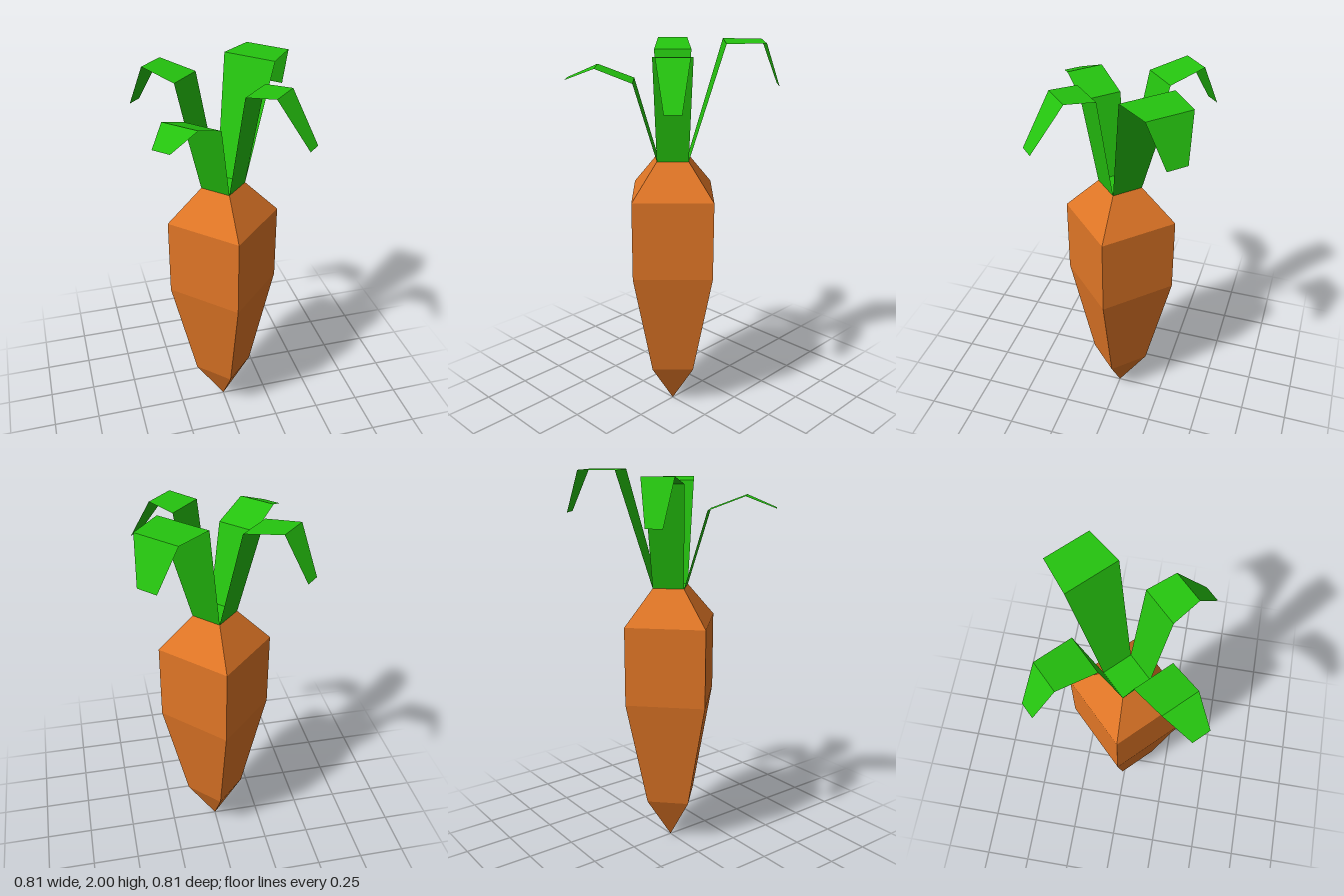
import * as THREE from 'three';

const leafGreen = new THREE.MeshStandardMaterial({ color: 0x25c40f, side: THREE.DoubleSide });
leafGreen.name = 'leaf green';
const rootOrange = new THREE.MeshStandardMaterial({ color: 0xe07626 });
rootOrange.name = 'root orange';

const CROWN_R = 0.113, CROWN_Y = 1.42;

function faceted(geometry) {
  const g = geometry.toNonIndexed();
  g.computeVertexNormals();
  return g;
}

// Bent strip running out along a diagonal. Each section is [near, far, y]:
// the edge joins (near, far) to (far, near) in the leaf's own quadrant.
function leafGeometry(sections, sx, sz) {
  const positions = [], index = [];
  sections.forEach(([near, far, y], i) => {
    positions.push(sx * near, y, sz * far, sx * far, y, sz * near);
    if (i === 0) return;
    const a = 2 * (i - 1);
    // Keep the upper side as the front in mirrored quadrants
    if (sx * sz > 0) index.push(a, a + 2, a + 1, a + 1, a + 2, a + 3);
    else index.push(a, a + 1, a + 2, a + 1, a + 3, a + 2);
  });
  const g = new THREE.BufferGeometry();
  g.setAttribute('position', new THREE.Float32BufferAttribute(positions, 3));
  g.setIndex(index);
  return faceted(g);
}

export function createModel() {
  const model = new THREE.Group();
  model.name = 'carrot';
  const add = (name, geometry, material) => {
    const mesh = new THREE.Mesh(geometry, material);
    mesh.name = name;
    model.add(mesh);
    return mesh;
  };

  // Four-sided tapering root, corners on the axes
  const profile = [[0, 0.005], [0.157, 0.25], [0.29, 0.83], [0.29, 1.24], [CROWN_R, CROWN_Y]]
    .map(([r, y]) => new THREE.Vector2(r, y));
  add('root', faceted(new THREE.LatheGeometry(profile, 4)), rootOrange);

  // Flat green square closing the top of the root
  const crown = add('crown', new THREE.CircleGeometry(CROWN_R, 4).rotateX(-Math.PI / 2), leafGreen);
  crown.position.y = CROWN_Y;

  // Four leaves: rise, bend outward, then droop at the tip
  const leaves = [
    ['backLeftLeaf', 1, -1, [[0.08, 0.275, 2], [0.23, 0.395, 2], [0.33, 0.405, 1.79]]],
    ['backRightLeaf', -1, -1, [[0.08, 0.215, 1.94], [0.23, 0.34, 1.98], [0.335, 0.392, 1.76]]],
    ['frontRightLeaf', -1, 1, [[0.065, 0.21, 1.81], [0.2, 0.333, 1.88], [0.34, 0.405, 1.82]]],
    ['frontLeftLeaf', 1, 1, [[0.05, 0.187, 1.945], [0.166, 0.28, 1.96], [0.305, 0.363, 1.73]]],
  ];
  for (const [name, sx, sz, bends] of leaves) {
    add(name, leafGeometry([[0, CROWN_R, CROWN_Y], ...bends], sx, sz), leafGreen);
  }
  return model;
}
